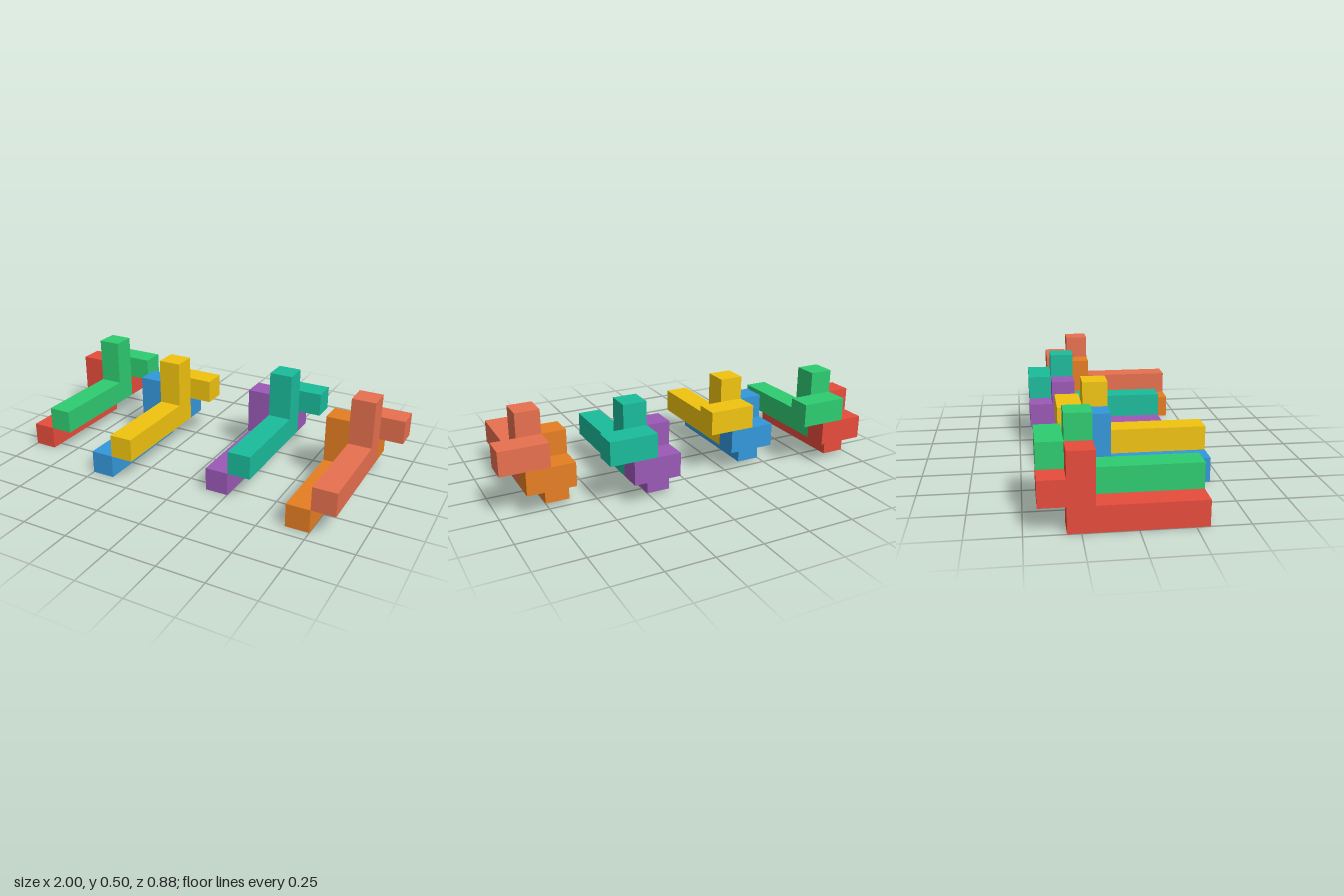
import * as THREE from 'three';

const U = 0.125; // one cube cell

// L-shaped bar: long beam with an upright at the back, profile in (z, y)
function lBarGeometry() {
  const outline = [[5, 0], [5, 1], [1, 1], [1, 3], [0, 3], [0, 0]];
  const shape = new THREE.Shape(outline.map(([z, y]) => new THREE.Vector2(z * U, y * U)));
  const geo = new THREE.ExtrudeGeometry(shape, { depth: U, bevelEnabled: false });
  geo.rotateY(-Math.PI / 2); // profile x becomes z, depth becomes -x
  geo.translate(U, 0, 0);
  return geo;
}

// Cross arm behind the upright, two cells wide
function armGeometry() {
  const geo = new THREE.BoxGeometry(2 * U, U, U);
  geo.translate(U, 1.5 * U, -0.5 * U);
  return geo;
}

export function createModel() {
  const model = new THREE.Group();
  const bar = lBarGeometry();
  const arm = armGeometry();

  function piece(name, color, x, y, z) {
    const group = new THREE.Group();
    group.name = name;
    const material = new THREE.MeshStandardMaterial({ color, flatShading: true });
    for (const [part, geo] of [['beamAndUpright', bar], ['crossArm', arm]]) {
      const mesh = new THREE.Mesh(geo, material);
      mesh.name = part;
      group.add(mesh);
    }
    group.position.set(x, y, z);
    model.add(group);
  }

  // Four pairs: x of the lower piece, z of the upright's back, two colours
  const pairs = [
    [-1, -0.3125, 'red', 0xe74c3c, 'green', 0x2ecc71],
    [-0.5, -0.1875, 'blue', 0x3498db, 'yellow', 0xf1c40f],
    [0.125, -0.3125, 'purple', 0x9b59b6, 'teal', 0x1abc9c],
    [0.625, -0.1875, 'orange', 0xe67e22, 'coral', 0xe8704f],
  ];
  for (const [x, z, lowName, lowColor, highName, highColor] of pairs) {
    piece(lowName + 'LowerPiece', lowColor, x, 0, z);
    piece(highName + 'UpperPiece', highColor, x + U, U, z);
  }
  return model;
}
